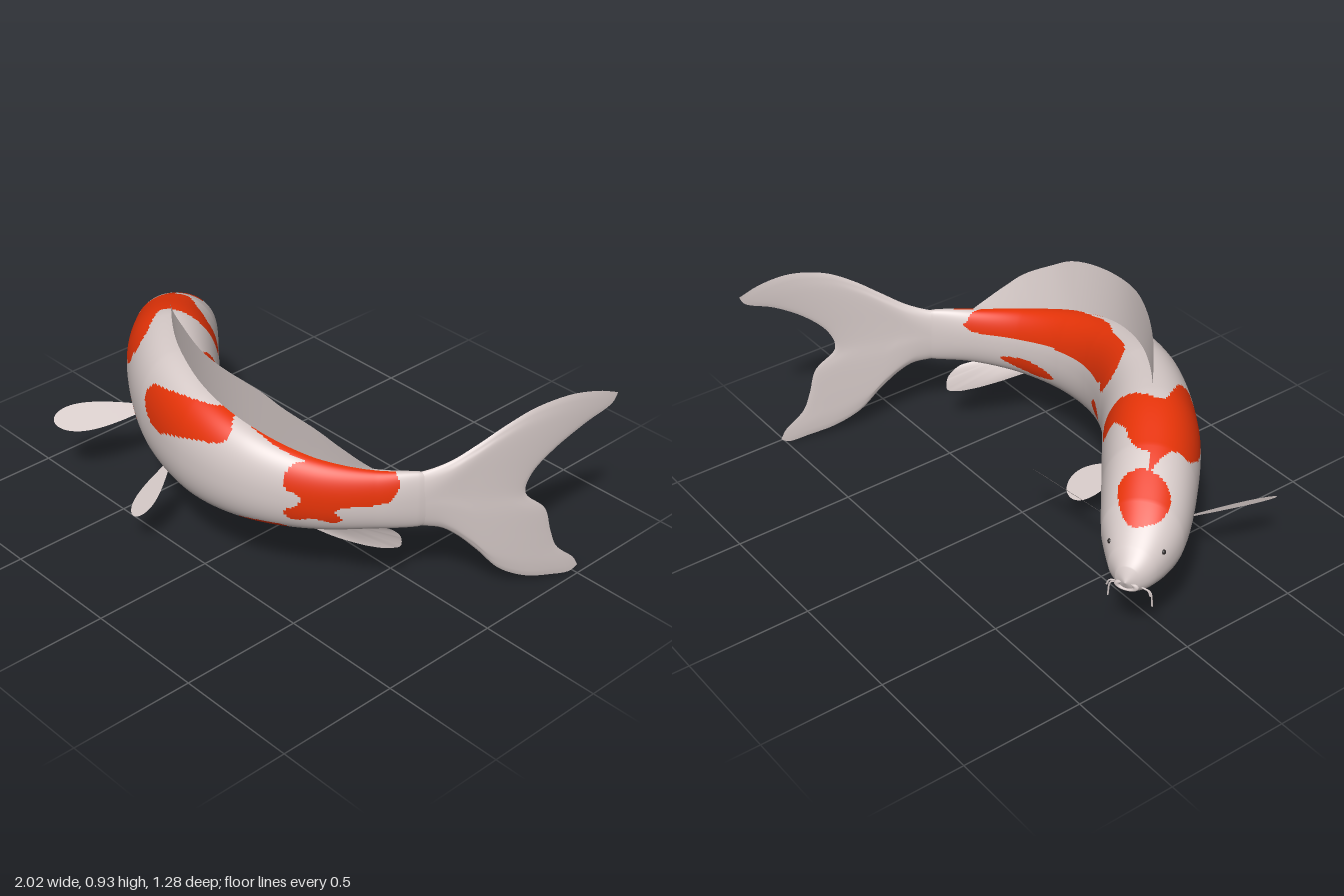
import * as THREE from 'three';

const V = (x, y, z) => new THREE.Vector3(x, y, z);
const spline = (pts, closed = false) => new THREE.CatmullRomCurve3(pts.map((p) => V(p[0], p[1], p[2] ?? 0)), closed);

const skin = new THREE.MeshStandardMaterial({ color: 0xd6cac8, side: THREE.DoubleSide });
const orange = new THREE.MeshStandardMaterial({ color: 0xe83408, side: THREE.DoubleSide });
const eyeBlack = new THREE.MeshStandardMaterial({ color: 0x2a2626 });
skin.name = 'pale skin';
orange.name = 'orange patch';
eyeBlack.name = 'eye black';

// Body stations from snout to tail root: spine x, spine z, top y, bottom y, half width
const stations = [
  [-0.957, -0.275, 0.41, 0.41, 0], [-0.945, -0.253, 0.465, 0.36, 0.047], [-0.92, -0.21, 0.515, 0.332, 0.09],
  [-0.84, -0.10, 0.622, 0.295, 0.149], [-0.70, 0.045, 0.722, 0.28, 0.173], [-0.50, 0.22, 0.78, 0.275, 0.18],
  [-0.27, 0.365, 0.775, 0.273, 0.165], [-0.02, 0.44, 0.735, 0.28, 0.14], [0.21, 0.425, 0.68, 0.298, 0.115],
  [0.43, 0.33, 0.615, 0.318, 0.08], [0.60, 0.19, 0.58, 0.335, 0.05], [0.70, 0.075, 0.572, 0.337, 0.031],
  [0.765, -0.02, 0.53, 0.37, 0.004],
];
const LAST = stations.length - 1;
const spine = spline(stations.map((s) => [s[0], 0, s[1]]));
const girth = spline(stations.map((s) => [s[2], s[3], s[4]]));

// Spine frame at station t: centre, outward side vector, section sizes
function frame(t) {
  const k = THREE.MathUtils.clamp(t / LAST, 0, 1);
  const c = spine.getPoint(k), d = spine.getTangent(k), g = girth.getPoint(k);
  return { c, side: V(-d.z, 0, d.x).normalize(), top: g.x, bottom: g.y, w: Math.max(0, g.z) };
}

// Point on the skin at station t and angle a (0 = outer side, PI/2 = back)
function skinPoint(t, a, f = frame(t)) {
  const soft = (n) => Math.sign(n) * Math.abs(n) ** 0.92;
  const p = f.c.clone().addScaledVector(f.side, f.w * soft(Math.cos(a)));
  p.y = (f.top + f.bottom) / 2 + ((f.top - f.bottom) / 2) * soft(Math.sin(a));
  return p;
}

// Rounded patch outlines on the outer side (x, y), inner side (x, y), back (x, z) and belly (x, z)
const rounded = (outlines) => outlines.map((o) => spline(o, true).getPoints(48));
const patches = {
  outer: rounded([
    [[-0.79, 0.65], [-0.76, 0.7], [-0.7, 0.75], [-0.62, 0.765], [-0.54, 0.765], [-0.5, 0.74], [-0.5, 0.7], [-0.53, 0.67], [-0.54, 0.62], [-0.6, 0.58], [-0.7, 0.57], [-0.76, 0.6]],
    [[-0.3, 0.62], [-0.27, 0.68], [-0.2, 0.7], [-0.1, 0.715], [0, 0.72], [0.1, 0.71], [0.16, 0.68], [0.16, 0.64], [0.05, 0.61], [-0.08, 0.575], [-0.18, 0.54], [-0.26, 0.56]],
    [[-0.73, 0.44], [-0.7, 0.47], [-0.62, 0.47], [-0.5, 0.47], [-0.42, 0.43], [-0.4, 0.38], [-0.42, 0.33], [-0.5, 0.32], [-0.58, 0.34], [-0.65, 0.39]],
    [[0.4, 0.61], [0.5, 0.6], [0.62, 0.59], [0.67, 0.56], [0.68, 0.52], [0.66, 0.47], [0.57, 0.455], [0.54, 0.44], [0.555, 0.4], [0.53, 0.385], [0.48, 0.4], [0.43, 0.388], [0.4, 0.395], [0.4, 0.43], [0.44, 0.46], [0.44, 0.5], [0.4, 0.52]],
    [[0.16, 0.28], [0.18, 0.315], [0.25, 0.335], [0.37, 0.34], [0.38, 0.31]],
  ]),
  inner: rounded([
    [[-0.48, 0.7], [-0.42, 0.71], [-0.395, 0.66], [-0.4, 0.58], [-0.44, 0.58]],
    [[-0.4, 0.37], [-0.36, 0.43], [-0.28, 0.43], [-0.22, 0.38], [-0.26, 0.335], [-0.35, 0.33]],
    [[-0.16, 0.45], [-0.12, 0.49], [-0.07, 0.46], [-0.09, 0.42], [-0.14, 0.42]],
    [[0.22, 0.39], [0.27, 0.42], [0.36, 0.43], [0.46, 0.405], [0.4, 0.375], [0.3, 0.362]],
    [[-0.19, 0.66], [-0.15, 0.6], [0, 0.57], [0.2, 0.545], [0.4, 0.515], [0.55, 0.505], [0.59, 0.53], [0.55, 0.56], [0.4, 0.58], [0.2, 0.63], [0, 0.67], [-0.15, 0.7]],
  ]),
  above: rounded([
    [[-0.92, -0.08], [-0.9, -0.15], [-0.86, -0.18], [-0.8, -0.17], [-0.72, -0.115], [-0.74, -0.05], [-0.82, -0.004], [-0.885, -0.015]],
    [[-0.725, 0.03], [-0.69, 0.003], [-0.62, 0.01], [-0.57, 0.035], [-0.5, 0.05], [-0.42, 0.07], [-0.41, 0.115], [-0.46, 0.155], [-0.55, 0.2], [-0.57, 0.25], [-0.5, 0.35], [-0.51, 0.42], [-0.56, 0.4], [-0.65, 0.33], [-0.79, 0.22], [-0.78, 0.18], [-0.71, 0.12]],
    [[-0.26, 0.22], [-0.2, 0.22], [-0.13, 0.28], [0, 0.325], [0.15, 0.335], [0.3, 0.305], [0.45, 0.24], [0.58, 0.155], [0.57, 0.22], [0.5, 0.3], [0.42, 0.37], [0.3, 0.42], [0.1, 0.43], [0, 0.42], [-0.08, 0.38], [-0.18, 0.345], [-0.23, 0.3]],
  ]),
  below: rounded([[[-0.59, 0.21], [-0.52, 0.175], [-0.42, 0.22], [-0.36, 0.285], [-0.4, 0.33], [-0.48, 0.31], [-0.55, 0.26]]]),
};

function inside(poly, x, y) {
  let hit = false;
  for (let i = 0, j = poly.length - 1; i < poly.length; j = i++) {
    const a = poly[i], b = poly[j];
    if (a.y > y !== b.y > y && x < a.x + ((b.x - a.x) * (y - a.y)) / (b.y - a.y)) hit = !hit;
  }
  return hit;
}

function isOrange(p, a) {
  const outer = Math.cos(a) > 0, up = Math.sin(a);
  const flank = outer ? patches.outer : patches.inner;
  if (flank.some((q) => inside(q, p.x, p.y))) return true;
  if (up > (outer ? 0.55 : 0.25)) return patches.above.some((q) => inside(q, p.x, p.z));
  return up < 0 && patches.below.some((q) => inside(q, p.x, p.z));
}

// Body skin, its faces sorted into pale and orange groups
function makeBody() {
  const nt = 300, na = 144, pos = [], pale = [], red = [];
  for (let i = 0; i <= nt; i++) {
    const t = LAST * (i / nt), f = frame(t);
    for (let j = 0; j < na; j++) pos.push(...skinPoint(t, (j / na) * Math.PI * 2, f).toArray());
  }
  for (let i = 0; i < nt; i++) {
    const t = LAST * ((i + 0.5) / nt), f = frame(t);
    for (let j = 0; j < na; j++) {
      const a = ((j + 0.5) / na) * Math.PI * 2, k = (j + 1) % na;
      const A = i * na + j, B = A + na, C = (i + 1) * na + k, D = i * na + k;
      (isOrange(skinPoint(t, a, f), a) ? red : pale).push(A, B, D, B, C, D);
    }
  }
  const g = new THREE.BufferGeometry();
  g.setAttribute('position', new THREE.Float32BufferAttribute(pos, 3));
  g.setIndex([...pale, ...red]);
  g.addGroup(0, pale.length, 0);
  g.addGroup(pale.length, red.length, 1);
  g.computeVertexNormals();
  return new THREE.Mesh(g, [skin, orange]);
}

// Thin smooth sheet from a rule (u, v) -> point
function sheet(rule, nu = 40, nv = 16) {
  const g = new THREE.PlaneGeometry(1, 1, nu, nv), uv = g.attributes.uv;
  for (let i = 0; i < uv.count; i++) g.attributes.position.setXYZ(i, ...rule(uv.getX(i), uv.getY(i)).toArray());
  g.computeVertexNormals();
  return new THREE.Mesh(g, skin);
}

// Fin along the back or belly; rows: base station, edge station, edge y; lean(u) tilts it sideways
function ridgeFin(rows, edge, lean) {
  const curve = spline(rows);
  return sheet((u, v) => {
    const r = curve.getPoint(u), a = frame(r.x), b = frame(r.y);
    const p = a.c.clone().setY(a[edge] + (edge === 'top' ? -0.01 : 0.01));
    return p.lerp(b.c.setY(r.z), v).addScaledVector(a.side, v * lean(u));
  }, 80, 14);
}

// Rounded paddle fin from a base point to a tip, with a half-width vector
function paddle(base, tip, half) {
  return sheet((u, v) => {
    const s = Math.sin((u * Math.PI) / 2);
    const w = (0.25 + 0.8 * Math.sin(s * Math.PI * 0.62)) * Math.sqrt(Math.max(0, 1 - s ** 6));
    return base.clone().lerp(tip, s).addScaledVector(half, w * (v * 2 - 1));
  }, 30, 12);
}

// One face of the forked tail: a patch blended between four edges in (z, y), bent along the spine
function makeTailSide(sign) {
  const top = spline([[0.11, 0.562], [0.05, 0.575], [-0.02, 0.605], [-0.1, 0.66], [-0.2, 0.73], [-0.3, 0.78], [-0.43, 0.8], [-0.55, 0.78], [-0.64, 0.745]]);
  const low = spline([[0.11, 0.348], [0.05, 0.335], [0, 0.32], [-0.05, 0.28], [-0.12, 0.2], [-0.2, 0.1], [-0.3, 0.04], [-0.4, 0.015], [-0.49, 0.002], [-0.52, 0.02]]);
  const rear = spline([[-0.64, 0.745], [-0.62, 0.71], [-0.5, 0.66], [-0.38, 0.585], [-0.3, 0.5], [-0.28, 0.42], [-0.36, 0.33], [-0.39, 0.22], [-0.42, 0.14], [-0.5, 0.06], [-0.52, 0.02]]);
  const [t1, l1] = [top.getPoint(1), low.getPoint(1)];
  return sheet((u, v) => {
    const p = top.getPointAt(u).lerp(low.getPointAt(u), v);
    p.addScaledVector(rear.getPointAt(v), u).addScaledVector(t1.clone().lerp(l1, v), -u);
    const d = -p.x, slope = 0.65 - 0.8 * d;
    const thick = sign * 0.029 * (1 - u) ** 0.6 * Math.sqrt(Math.max(0, 4 * v * (1 - v)));
    const out = V(1, 0, slope).normalize().multiplyScalar(thick);
    return V(0.75 + 0.65 * d - 0.4 * d * d, p.y, p.x).add(out);
  }, 50, 60);
}

export function createModel() {
  const fish = new THREE.Group();
  const add = (name, mesh) => { mesh.name = name; fish.add(mesh); return mesh; };

  add('body', makeBody());
  add('tailFinOuterFace', makeTailSide(1));
  add('tailFinInnerFace', makeTailSide(-1));
  add('dorsalFin', ridgeFin([[5, 5, 0.78], [5.15, 5.15, 0.83], [5.4, 5.4, 0.88], [6, 6.25, 0.93], [7, 7.1, 0.915],
    [8, 8.2, 0.872], [8.4, 8.6, 0.82], [8.8, 9.1, 0.75], [9.1, 9.4, 0.69], [9.45, 9.7, 0.63], [9.9, 9.95, 0.585]], 'top',
  (u) => 0.042 * Math.sin(Math.PI * u) * THREE.MathUtils.smoothstep(u, 0, 0.6)));
  add('analFin', ridgeFin([[8.9, 8.9, 0.315], [9, 9.4, 0.26], [9.15, 9.9, 0.22], [9.35, 10.35, 0.207],
    [9.5, 10.6, 0.22], [9.6, 10.6, 0.26], [9.75, 10.35, 0.31], [9.85, 9.9, 0.335]], 'bottom',
  (u) => -0.05 * Math.sin(Math.PI * u)));
  add('outerPectoralFin', paddle(V(-0.68, 0.285, 0.24), V(-0.81, 0.305, 0.588), V(-0.05, 0.035, -0.02)));
  add('innerPectoralFin', paddle(V(-0.54, 0.3, 0.01), V(-0.125, 0.3, -0.035), V(0.008, 0.058, -0.054)));
  add('outerPelvicFin', paddle(V(-0.27, 0.3, 0.45), V(-0.245, 0.16, 0.638), V(0.06, 0.018, 0)));
  add('innerPelvicFin', paddle(V(-0.3, 0.285, 0.27), V(-0.125, 0.125, 0.125), V(0.05, 0.035, 0.025)));

  // Eyes and barbels on both cheeks
  for (const s of [1, -1]) {
    const onCheek = (t, deg) => skinPoint(t, s > 0 ? (deg * Math.PI) / 180 : Math.PI - (deg * Math.PI) / 180);
    const eye = add('eye', new THREE.Mesh(new THREE.SphereGeometry(0.01, 16, 12), eyeBlack));
    eye.position.copy(onCheek(2.35, 26)).addScaledVector(frame(2.35).side, -0.005 * s);
    for (const [t, deg, len] of [[1.3, -30, 0.03], [1.7, -48, 0.07]]) {
      const p = onCheek(t, deg), side = frame(t).side.clone().multiplyScalar(s);
      const path = new THREE.CatmullRomCurve3([
        p.clone().addScaledVector(side, -0.01),
        p.clone().addScaledVector(side, 0.02).add(V(0, -0.008, 0)),
        p.clone().addScaledVector(side, 0.03).add(V(0, -len, 0)),
      ]);
      add('barbel', new THREE.Mesh(new THREE.TubeGeometry(path, 10, 0.0035, 6), skin));
    }
  }

  // Lips around the snout
  const lips = add('lips', new THREE.Mesh(new THREE.TorusGeometry(0.027, 0.009, 10, 28), skin));
  lips.position.set(-0.948, 0.388, -0.259);
  lips.rotation.y = Math.atan2(-0.5, -0.86);
  lips.scale.set(1.3, 0.6, 1);
  return fish;
}
